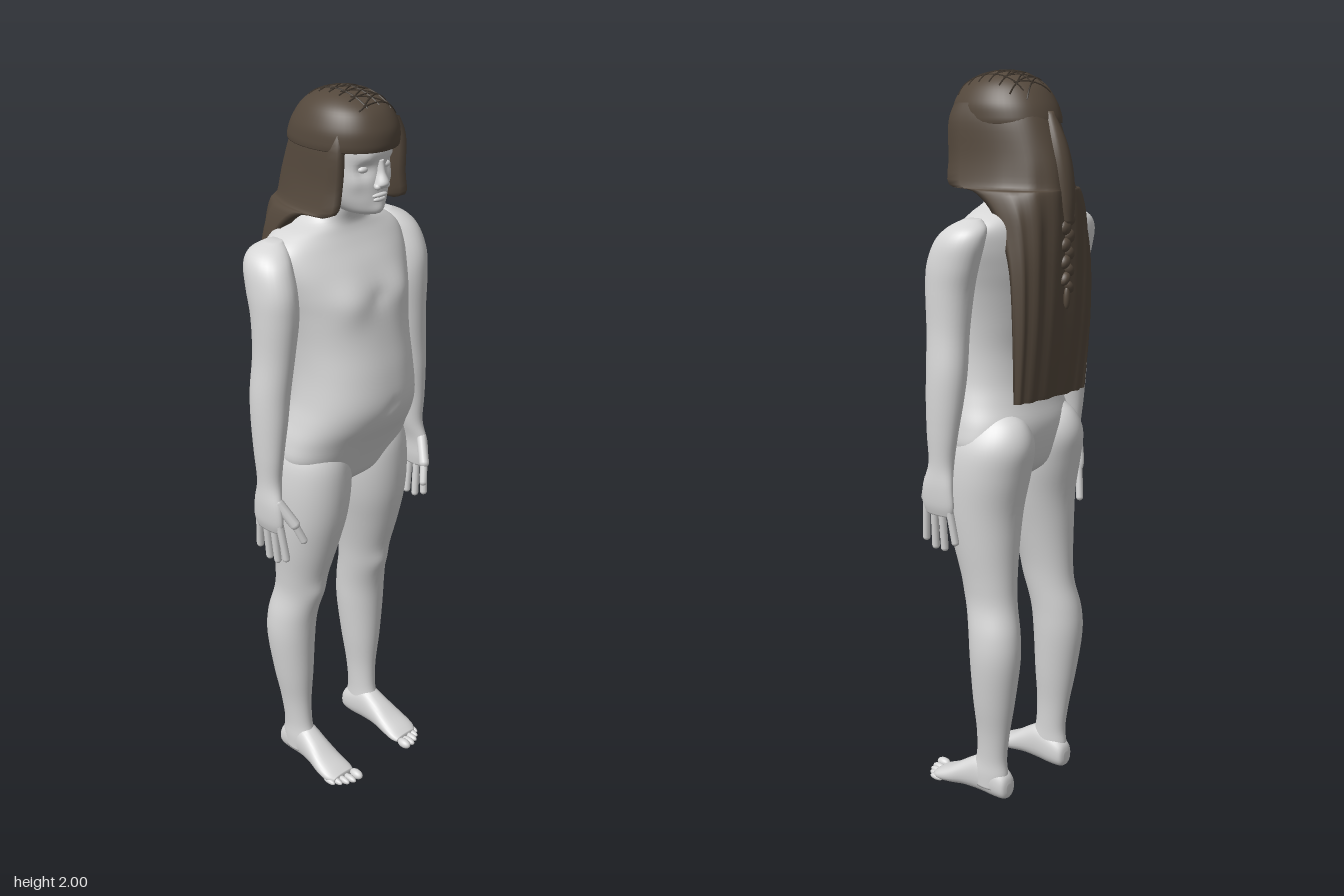
import * as THREE from 'three';

const skin = new THREE.MeshStandardMaterial({ color: 0xd6d6d6 });
skin.name = 'pale skin';
const hair = new THREE.MeshStandardMaterial({ color: 0x54483c, side: THREE.DoubleSide });
hair.name = 'brown hair';
const darkHair = new THREE.MeshStandardMaterial({ color: 0x3a322a });
darkHair.name = 'dark braided hair';

function add(parent, name, geometry, material) {
  const mesh = new THREE.Mesh(geometry, material);
  mesh.name = name;
  parent.add(mesh);
  return mesh;
}

// Smoothly interpolates between a few control rings
function refine(rings, steps = 5) {
  const out = [];
  const n = rings.length - 1;
  for (let i = 0; i < n; i++) {
    const [p, q, r, s] = [rings[Math.max(i - 1, 0)], rings[i], rings[i + 1], rings[Math.min(i + 2, n)]];
    for (let k = 0; k < steps; k++) {
      const t = k / steps;
      out.push(q.map((b, c) => b + 0.5 * t * (r[c] - p[c]
        + t * (2 * p[c] - 5 * b + 4 * r[c] - s[c] + t * (3 * (b - r[c]) + s[c] - p[c])))));
    }
  }
  out.push(rings[n]);
  return out;
}

// Joins closed rows of points into one smooth surface
function stitch(rows, flip, caps = true, sculpt) {
  const m = rows[0].length, pts = rows.flat().map(p => p.clone()), idx = [];
  const tri = (a, b, c) => flip ? idx.push(a, c, b) : idx.push(a, b, c);
  for (let i = 0; i < rows.length - 1; i++) for (let j = 0; j < m; j++) {
    const a = i * m + j, b = i * m + (j + 1) % m;
    tri(a, a + m, b);
    tri(b, a + m, b + m);
  }
  if (caps) [0, rows.length - 1].forEach((r, end) => {
    const c = pts.length;
    pts.push(rows[r].reduce((s, p) => s.add(p), new THREE.Vector3()).divideScalar(m));
    for (let j = 0; j < m; j++) {
      const a = r * m + j, b = r * m + (j + 1) % m;
      end ? tri(c, b, a) : tri(c, a, b);
    }
  });
  if (sculpt) pts.forEach(sculpt);
  const g = new THREE.BufferGeometry().setFromPoints(pts);
  g.setIndex(idx);
  g.computeVertexNormals();
  return g;
}

// Ring: [position on axis, centre x, half width, high edge, low edge]
function loft(rings, { axis = 'y', side = 1, power = 2, segs = 40, sculpt } = {}) {
  const bend = v => Math.sign(v) * Math.abs(v) ** (2 / power);
  const rows = refine(rings).map(([t, cx, w, hi, lo]) => Array.from({ length: segs }, (_, j) => {
    const a = j / segs * Math.PI * 2;
    const x = side * cx + w * bend(Math.cos(a));
    const d = (hi + lo) / 2 + (hi - lo) / 2 * bend(Math.sin(a));
    return axis === 'y' ? new THREE.Vector3(x, t, d) : new THREE.Vector3(x, d, t);
  }));
  return stitch(rows, axis === 'z', true, sculpt);
}

// Soft pushes on a surface: [x, y, z, radius, dx, dy, dz], mirrored on x
const bumps = list => p => {
  const o = p.clone();
  for (const [x, y, z, r, dx, dy, dz] of list) for (const s of x ? [1, -1] : [1]) {
    const f = Math.exp(-((o.x - s * x) ** 2 + (o.y - y) ** 2 + (o.z - z) ** 2) / (r * r));
    p.add(new THREE.Vector3(s * dx * f, dy * f, dz * f));
  }
};

function blob(parent, name, material, [x, y, z], [rx, ry, rz]) {
  const mesh = add(parent, name, new THREE.SphereGeometry(1, 18, 12), material);
  mesh.position.set(x, y, z);
  mesh.scale.set(rx, ry, rz);
  return mesh;
}

function digit(parent, name, a, b, r) {
  const from = new THREE.Vector3(...a), to = new THREE.Vector3(...b);
  const dir = to.clone().sub(from);
  const mesh = add(parent, name, new THREE.CapsuleGeometry(r, dir.length(), 5, 10), skin);
  mesh.position.copy(from).add(to).multiplyScalar(0.5);
  mesh.quaternion.setFromUnitVectors(new THREE.Vector3(0, 1, 0), dir.normalize());
}

function buildLimbs(g, side) {
  const label = side > 0 ? 'left' : 'right';
  add(g, label + 'Arm', loft([
    [0.86, 0.279, 0.012, 0.06, -0.03], [0.89, 0.281, 0.018, 0.07, -0.038], [0.94, 0.281, 0.021, 0.066, -0.034],
    [1.0, 0.272, 0.027, 0.05, -0.028], [1.08, 0.269, 0.034, 0.055, -0.038], [1.17, 0.262, 0.043, 0.06, -0.05],
    [1.25, 0.255, 0.048, 0.062, -0.056], [1.35, 0.244, 0.05, 0.068, -0.054], [1.45, 0.237, 0.056, 0.075, -0.062],
    [1.52, 0.236, 0.056, 0.072, -0.08], [1.58, 0.23, 0.053, 0.05, -0.095], [1.615, 0.215, 0.045, 0.02, -0.09],
    [1.637, 0.195, 0.02, -0.015, -0.06]], { side, segs: 28 }), skin);
  [[0.058, 0.07, 0.785], [0.031, 0.036, 0.768], [0.004, 0.004, 0.768], [-0.022, -0.034, 0.79]].forEach(([z, zt, y]) =>
    digit(g, label + 'Finger', [side * 0.28, 0.885, z], [side * 0.27, y, zt], 0.0105));
  digit(g, label + 'ThumbBase', [side * 0.277, 0.95, 0.05], [side * 0.252, 0.89, 0.085], 0.015);
  digit(g, label + 'ThumbTip', [side * 0.252, 0.89, 0.085], [side * 0.234, 0.84, 0.1], 0.011);

  add(g, label + 'Leg', loft([
    [0.03, 0.133, 0.034, 0.02, -0.09], [0.07, 0.133, 0.035, 0.025, -0.095], [0.12, 0.133, 0.033, 0.008, -0.09],
    [0.2, 0.135, 0.038, 0.004, -0.1], [0.3, 0.138, 0.052, 0.01, -0.118], [0.42, 0.14, 0.064, 0.015, -0.135],
    [0.5, 0.137, 0.065, 0.022, -0.132], [0.58, 0.127, 0.062, 0.04, -0.115], [0.65, 0.124, 0.068, 0.056, -0.11],
    [0.75, 0.12, 0.084, 0.085, -0.11], [0.85, 0.114, 0.099, 0.108, -0.115], [0.95, 0.109, 0.107, 0.116, -0.135],
    [1.03, 0.106, 0.1, 0.11, -0.148], [1.09, 0.103, 0.07, 0.08, -0.125], [1.13, 0.1, 0.03, 0.03, -0.07]],
  { side, sculpt: bumps([[0.125, 0.6, 0.045, 0.035, 0, 0, 0.008]]) }), skin);

  // Foot runs from heel to ball, with five toes ahead of it
  add(g, label + 'Foot', loft([
    [-0.104, 0.13, 0.012, 0.05, 0.02], [-0.095, 0.13, 0.028, 0.075, 0.005], [-0.06, 0.13, 0.035, 0.1, 0.002],
    [-0.01, 0.131, 0.036, 0.115, 0.004], [0.04, 0.134, 0.04, 0.09, 0.006], [0.09, 0.137, 0.047, 0.058, 0.003],
    [0.13, 0.136, 0.048, 0.038, 0.002], [0.152, 0.132, 0.038, 0.026, 0.006]], { axis: 'z', side, power: 2.3, segs: 28 }), skin);
  [[0.102, 0.173, 0.014], [0.125, 0.17, 0.01], [0.144, 0.162, 0.0095], [0.161, 0.15, 0.009], [0.176, 0.135, 0.0085]]
    .forEach(([x, z, r]) => blob(g, label + 'Toe', skin, [side * x, r + 0.003, z], [r, r, 0.023]));
}

function buildHead(g) {
  add(g, 'head', loft([
    [1.693, 0, 0.02, 0.1, 0.03], [1.703, 0, 0.045, 0.132, 0], [1.73, 0, 0.066, 0.14, -0.04],
    [1.77, 0, 0.082, 0.141, -0.08], [1.82, 0, 0.091, 0.143, -0.1], [1.87, 0, 0.092, 0.146, -0.1],
    [1.92, 0, 0.08, 0.12, -0.08], [1.96, 0, 0.04, 0.06, -0.03]], {
    power: 2.15, segs: 64, sculpt: bumps([
      [0.04, 1.818, 0.13, 0.022, 0, 0, -0.014], [0.04, 1.845, 0.135, 0.018, 0, 0, 0.007],
      [0, 1.712, 0.135, 0.02, 0, 0, 0.008], [0.062, 1.785, 0.11, 0.025, 0.002, 0, 0.006]]) }), skin);
  add(g, 'nose', loft([
    [1.766, 0, 0.01, 0.147, 0.12], [1.774, 0, 0.021, 0.16, 0.12], [1.785, 0, 0.018, 0.167, 0.12],
    [1.81, 0, 0.011, 0.155, 0.12], [1.84, 0, 0.011, 0.148, 0.12]], { segs: 20 }), skin);
  blob(g, 'upperLip', skin, [0, 1.75, 0.139], [0.025, 0.006, 0.009]);
  blob(g, 'lowerLip', skin, [0, 1.739, 0.138], [0.021, 0.007, 0.009]);
  for (const s of [1, -1]) {
    blob(g, 'eye', skin, [s * 0.039, 1.817, 0.119], [0.015, 0.009, 0.011]);
    blob(g, 'nostril', skin, [s * 0.015, 1.774, 0.147], [0.009, 0.008, 0.009]);
  }
}

function buildHair(g) {
  // Crown with a straight fringe
  const crown = add(g, 'hairCrown', loft([
    [1.868, -0.008, 0.121, 0.17, -0.135], [1.885, -0.008, 0.122, 0.173, -0.133], [1.92, -0.008, 0.117, 0.168, -0.118],
    [1.96, -0.01, 0.096, 0.143, -0.088], [1.985, -0.01, 0.066, 0.1, -0.05], [1.997, -0.01, 0.03, 0.055, -0.01],
    [1.999, -0.01, 0.008, 0.03, 0.014]], { segs: 56, power: 2.1 }), hair);

  // U-shaped curtain beside the face, flowing into the long back sheet
  // Ring: [y, half width, front edge z, back z, thickness]
  const n = 40;
  const rows = refine([
    [1.168, 0.148, -0.13, -0.156, 0], [1.17, 0.15, -0.13, -0.158, 0.02], [1.35, 0.155, -0.13, -0.18, 0.025],
    [1.5, 0.155, -0.12, -0.188, 0.03], [1.6, 0.152, -0.088, -0.19, 0.03], [1.66, 0.15, -0.05, -0.189, 0.03],
    [1.7, 0.145, 0.01, -0.187, 0.028], [1.712, 0.136, 0.1, -0.185, 0.026], [1.78, 0.124, 0.11, -0.172, 0.026],
    [1.87, 0.12, 0.112, -0.137, 0.026], [1.92, 0.108, 0.1, -0.11, 0.026]], 4).map(([y, w, zf, zb, th]) => {
    const arc = (inset, s) => {
      const a = s * Math.PI / 2;
      const ripple = 0.004 * Math.cos(s * 22) * Math.min(1, Math.max(0, (1.85 - y) * 4));
      return new THREE.Vector3((w - inset) * Math.sign(a) * Math.abs(Math.sin(a)) ** 0.85, y,
        zb + inset + ripple + (zf - zb - inset) * (1 - Math.abs(Math.cos(a)) ** 0.75));
    };
    const outer = Array.from({ length: n + 1 }, (_, j) => arc(0, j / n * 2 - 1));
    return [...outer, ...outer.map((_, j) => arc(th, 1 - j / n * 2))];
  });
  add(g, 'longHair', stitch(rows, false, false), hair);

  // Gathered tail and braid down the middle of the back
  add(g, 'gatheredTail', loft([
    [1.62, -0.005, 0.014, -0.18, -0.2], [1.68, -0.005, 0.026, -0.165, -0.202], [1.76, -0.005, 0.032, -0.14, -0.193],
    [1.83, -0.005, 0.027, -0.12, -0.172], [1.9, -0.005, 0.012, -0.1, -0.135]], { segs: 20 }), hair);
  for (let i = 0; i < 9; i++) {
    const s = i % 2 ? 1 : -1, r = 0.021 - i * 0.0011;
    const knot = blob(g, 'braidKnot', hair, [-0.005 + s * 0.008, 1.63 - i * 0.022, -0.184], [r, 0.02, 0.015]);
    knot.rotation.z = s * 0.6;
  }
  blob(g, 'braidTip', hair, [-0.005, 1.425, -0.186], [0.01, 0.03, 0.009]);

  // Thin plaits crossing over the crown
  const ray = new THREE.Raycaster(), down = new THREE.Vector3(0, -1, 0);
  crown.updateMatrixWorld();
  const plait = (x0, z0, x1, z1) => {
    const pts = [];
    for (let i = 0; i <= 8; i++) {
      ray.set(new THREE.Vector3(x0 + (x1 - x0) * i / 8, 3, z0 + (z1 - z0) * i / 8), down);
      const hit = ray.intersectObject(crown)[0];
      if (hit) pts.push(hit.point);
    }
    if (pts.length > 2) add(g, 'crownPlait', new THREE.TubeGeometry(new THREE.CatmullRomCurve3(pts), 20, 0.0025, 5), darkHair);
  };
  for (let i = 0; i < 6; i++) {
    const z = 0.125 - i * 0.035;
    plait(-0.06, z, 0.075, z - 0.008);
    plait(-0.045, z, 0.05, z - 0.045);
    plait(0.05, z, -0.045, z - 0.045);
  }
  for (const x of [-0.035, 0.005, 0.045]) plait(x, 0.13, x, -0.08);
}

export function createModel() {
  const model = new THREE.Group();
  model.name = 'standingFigure';
  add(model, 'torso', loft([
    [0.925, 0, 0.05, 0.05, -0.06], [0.96, 0, 0.15, 0.09, -0.1], [1.02, 0, 0.2, 0.118, -0.12],
    [1.08, 0, 0.198, 0.148, -0.125], [1.14, 0, 0.184, 0.182, -0.11], [1.2, 0, 0.172, 0.198, -0.1],
    [1.28, 0, 0.166, 0.19, -0.1], [1.36, 0, 0.17, 0.172, -0.115], [1.44, 0, 0.184, 0.154, -0.13],
    [1.5, 0, 0.2, 0.137, -0.14], [1.56, 0, 0.215, 0.108, -0.142], [1.61, 0, 0.212, 0.075, -0.136],
    [1.645, 0, 0.165, 0.055, -0.125], [1.67, 0, 0.1, 0.05, -0.108], [1.71, 0, 0.071, 0.058, -0.09],
    [1.78, 0, 0.065, 0.06, -0.08]], {
    power: 2.2, segs: 72, sculpt: bumps([
      [0.085, 1.48, 0.125, 0.055, 0, 0, 0.014], [0, 1.48, 0.14, 0.025, 0, 0, -0.006],
      [0, 1.19, 0.198, 0.014, 0, 0, -0.008], [0, 1.3, -0.1, 0.05, 0, 0, 0.008]]) }), skin);
  for (const side of [1, -1]) buildLimbs(model, side);
  buildHead(model);
  buildHair(model);
  return model;
}
